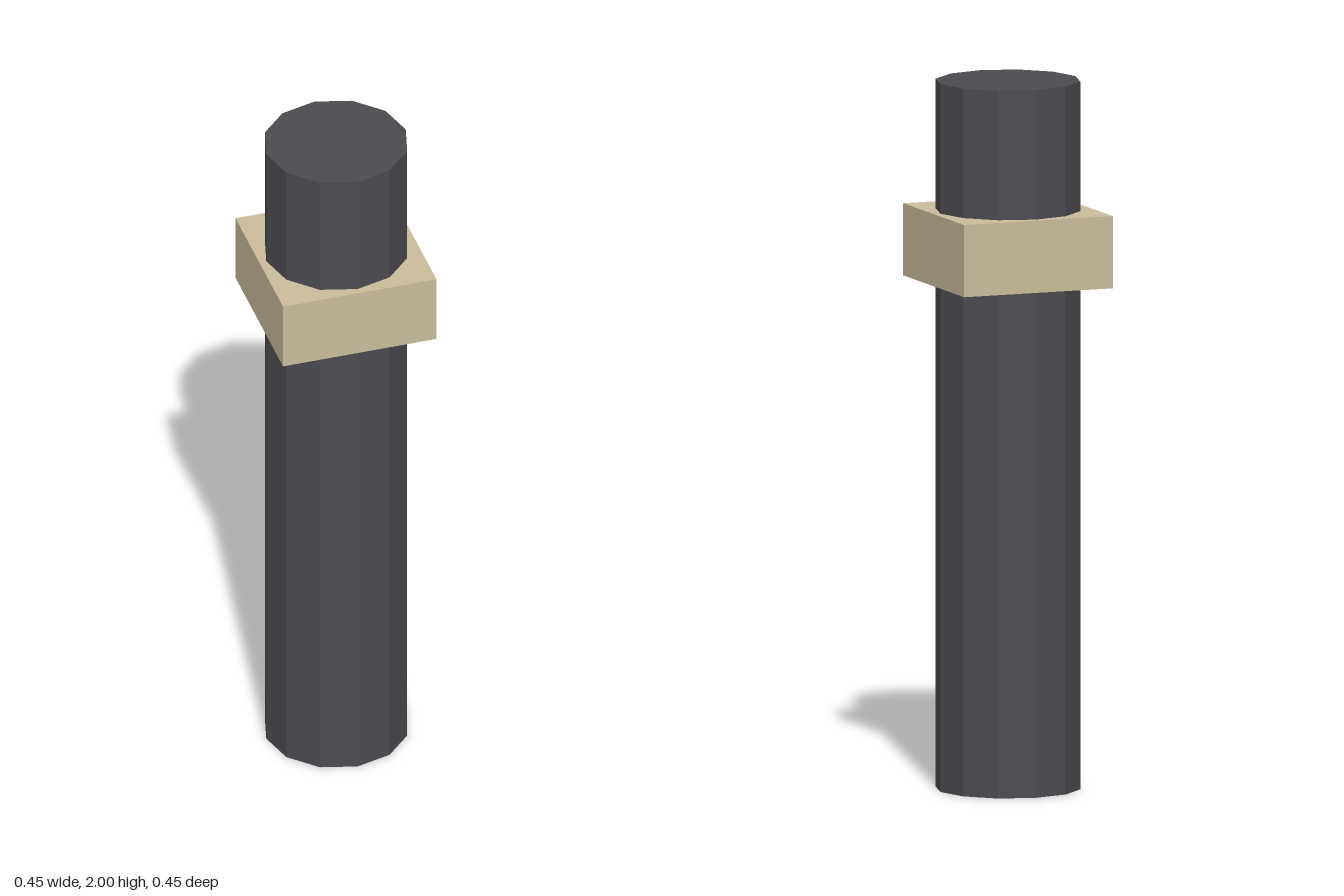
import * as THREE from 'three';

export function createModel() {
  const model = new THREE.Group();

  const addPart = (name, geometry, color, y) => {
    const material = new THREE.MeshStandardMaterial({ color, flatShading: true });
    const mesh = new THREE.Mesh(geometry, material);
    mesh.name = name;
    mesh.position.y = y;
    model.add(mesh);
  };

  // Twelve-sided dark shaft, full height
  addPart('shaft', new THREE.CylinderGeometry(0.204, 0.204, 2, 12), 0x4a4a50, 1);

  // Square tan band around the upper part of the shaft
  addPart('collar', new THREE.BoxGeometry(0.449, 0.204, 0.449), 0xc8bc9a, 1.532);

  return model;
}
